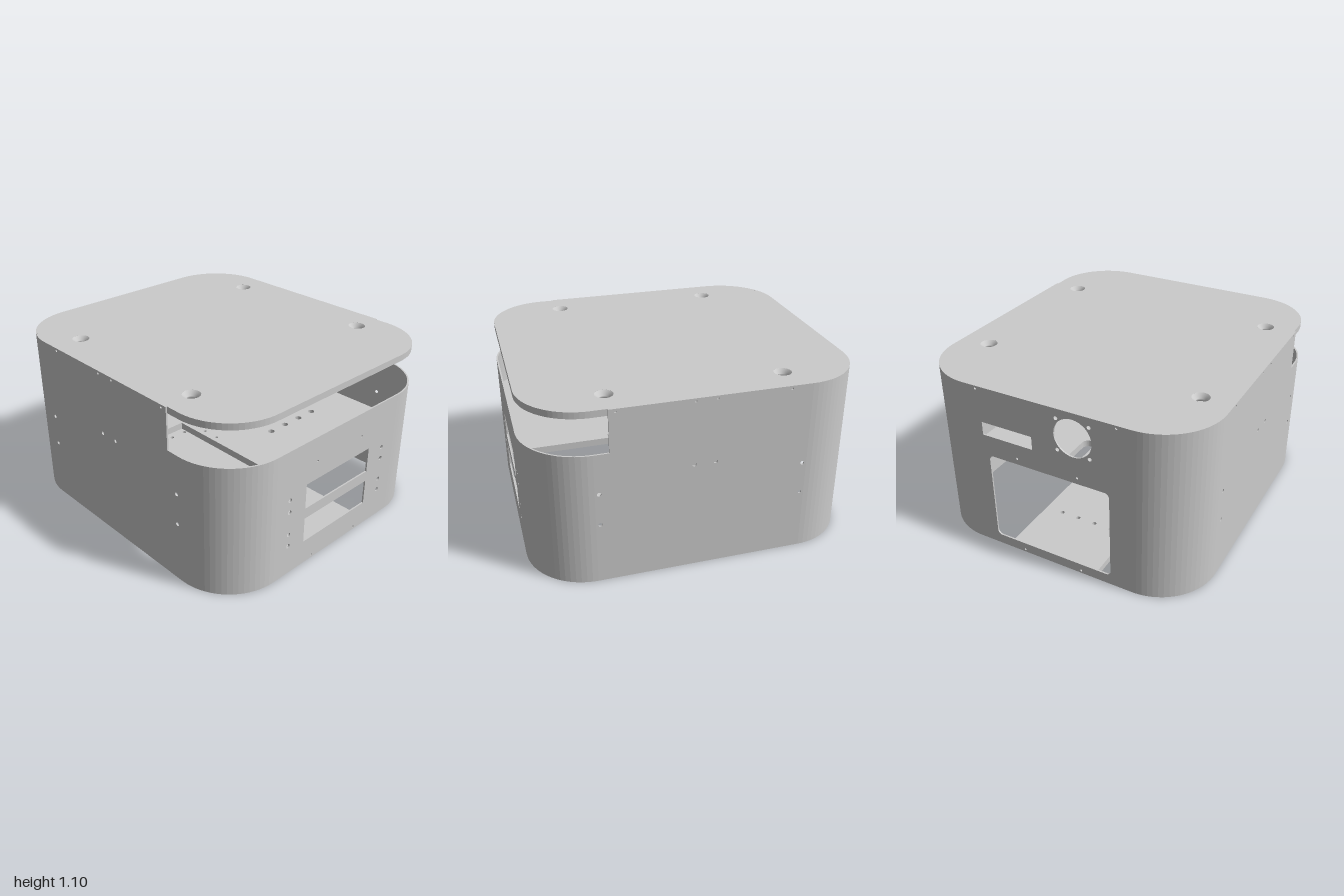
import * as THREE from 'three';

const W = 1, D = 0.905, H = 1.1;       // half width, half depth, height
const R = 0.37, T = 0.01;              // corner radius, wall thickness
const CUT = 0.84, PLATE = 0.04;        // lower edge of the side opening, plate thickness
const mat = new THREE.MeshStandardMaterial({ color: 0xcccccc });
const thin = new THREE.MeshStandardMaterial({ color: 0xcccccc, side: THREE.DoubleSide });

const poly = (pts, Type = THREE.Shape) => new Type(pts.map(p => new THREE.Vector2(...p)));
const rect = (x0, y0, x1, y1, Type) => poly([[x0, y0], [x1, y0], [x1, y1], [x0, y1]], Type);

function roundRect(x0, y0, x1, y1, r, Type = THREE.Shape) {
  const s = new Type();
  s.moveTo(x0 + r, y0);
  s.absarc(x1 - r, y0 + r, r, -Math.PI / 2, 0);
  s.absarc(x1 - r, y1 - r, r, 0, Math.PI / 2);
  s.absarc(x0 + r, y1 - r, r, Math.PI / 2, Math.PI);
  s.absarc(x0 + r, y0 + r, r, Math.PI, Math.PI * 1.5);
  s.closePath();
  return s;
}

function drill(shape, r, points) {
  for (const [x, y] of points) shape.holes.push(new THREE.Path().absarc(x, y, r, 0, Math.PI * 2, true));
}

function grid(xs, ys) {
  return xs.flatMap(x => ys.map(y => [x, y]));
}

export function createModel() {
  const model = new THREE.Group();
  const extrude = (shape, depth, seg = 8) =>
    new THREE.ExtrudeGeometry(shape, { depth, bevelEnabled: false, curveSegments: seg });
  const add = (name, geo, material = mat) => {
    const m = new THREE.Mesh(geo, material);
    m.name = name;
    model.add(m);
    return m;
  };
  // horizontal slab from a shape drawn in x and z
  const slab = (name, shape, top, depth, seg) =>
    add(name, extrude(shape, depth, seg).rotateX(Math.PI / 2).translate(0, top, 0));

  // front and back walls, stepped down beside the side opening
  const fx = W - R, fz = D - R;
  for (const [name, z] of [['frontWall', D - T], ['backWall', -D]]) {
    const s = poly([[-fx, 0], [fx, 0], [fx, CUT], [0.54, CUT], [0.54, H], [-fx, H]]);
    drill(s, 0.012, grid([-0.605, 0.605], [0.39, 0.59]));
    drill(s, 0.012, grid([-0.065, 0.06], [0.69]));
    drill(s, 0.007, grid([-0.5, -0.065, 0.06, 0.5], [1.083]));
    add(name, extrude(s, T).translate(0, 0, z));
  }

  // right-hand wall with two vents and their screw holes
  const vent = rect(-fz, 0, fz, CUT);
  vent.holes.push(rect(-0.285, 0.16, 0.285, 0.325, THREE.Path), rect(-0.285, 0.395, 0.285, 0.56, THREE.Path));
  drill(vent, 0.014, grid([-0.42, 0.42], [0.2, 0.28, 0.435, 0.515]));
  drill(vent, 0.007, grid([-0.2, 0.2], [0.018, 0.68]));
  add('ventWall', extrude(vent, T).rotateY(-Math.PI / 2).translate(W, 0, 0));

  // opposite wall with access opening, slot and round port
  const port = rect(-fz, 0, fz, H);
  port.holes.push(
    roundRect(-0.4, 0.065, 0.4, 0.65, 0.03, THREE.Path),
    rect(-0.43, 0.785, -0.09, 0.87, THREE.Path));
  drill(port, 0.12, [[0.18, 0.94]]);
  drill(port, 0.012, grid([0.08, 0.285], [0.84, 1.04]));
  drill(port, 0.007, [[-0.2, 0.018], [0.2, 0.018], [-0.2, 0.69], [0.2, 0.69], [-0.45, 1.083], [0.45, 1.083]]);
  add('portWall', extrude(port, T, 16).rotateY(-Math.PI / 2).translate(-W + T, 0, 0));

  // curved corners, lower on the side of the opening
  for (const sx of [-1, 1]) for (const sz of [-1, 1]) {
    const start = Math.atan2(sz, sx) - Math.PI / 4;
    const s = new THREE.Shape();
    s.absarc(sx * fx, sz * fz, R, start, start + Math.PI / 2);
    s.absarc(sx * fx, sz * fz, R - T, start + Math.PI / 2, start, true);
    s.closePath();
    const h = sx > 0 ? CUT : H;
    slab('cornerWall', s, h, h, 9);
  }

  // lid set inside the walls, with countersunk screw holes
  const lid = roundRect(-W + T, -D + T, W - T, D - T, R - T);
  const screws = grid([-0.525, 0.52], [-0.715, 0.71]);
  drill(lid, 0.053, screws);
  slab('lid', lid, H, PLATE, 10);
  const sink = [[0.053, H], [0.028, H - 0.025], [0.028, H - PLATE], [0.053, H - PLATE]]
    .map(p => new THREE.Vector2(...p));
  for (const [x, z] of screws) add('countersink', new THREE.LatheGeometry(sink, 24).translate(x, 0, z), thin);

  // middle shelf with tabs reaching the front and back walls
  const a = W - T, b = 0.5, c = 0.05, t = 0.18, e = D - T;
  const half = [[a, b - c], [a - c, b], [t, b], [t, e], [-t, e], [-t, b], [-a + c, b], [-a, b - c]];
  const shelf = poly([...half, ...half.map(([x, z]) => [-x, -z])]);
  shelf.holes.push(roundRect(-0.92, 0.05, -0.66, 0.13, 0.039, THREE.Path));
  const row = [-0.18, -0.06, 0.06, 0.18];
  drill(shelf, 0.02, grid([0.62], row));
  drill(shelf, 0.009, grid([0.35, 0.45], [-0.465, 0.465]));
  slab('shelf', shelf, 0.705, PLATE);

  // floor strip between the two side walls
  const floor = rect(-a, -0.3, a, 0.3);
  drill(floor, 0.014, grid([-0.61, 0.61], row));
  slab('floorStrip', floor, PLATE, PLATE);

  return model;
}
